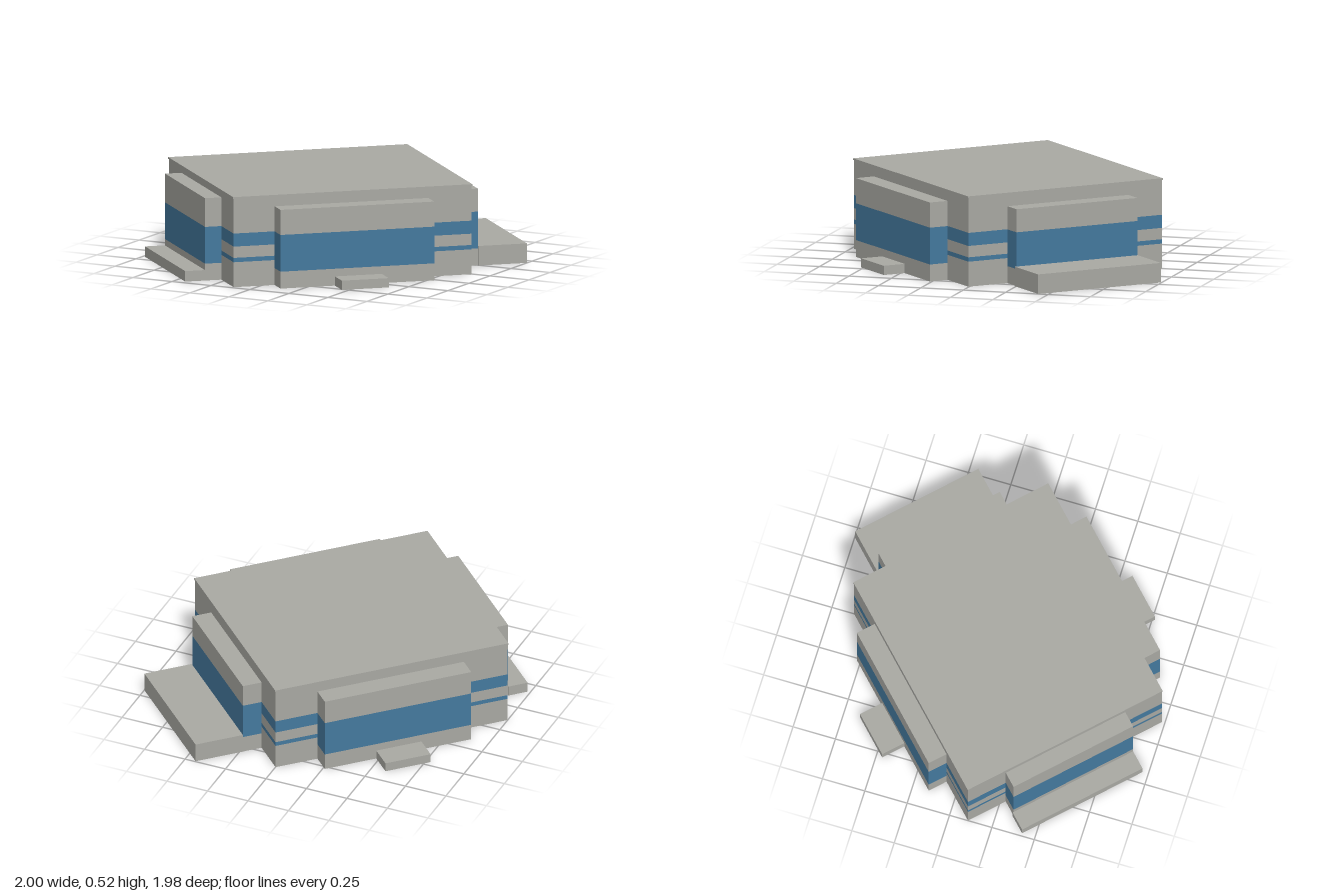
import * as THREE from 'three';

const wall = new THREE.MeshStandardMaterial({ name: 'concreteGrey', color: 0xaaaaa4 });
const glass = new THREE.MeshStandardMaterial({ name: 'windowBlue', color: 0x457a9f });

// Ground plan frame: u and v run along the walls, turned about 45 degrees
const plan = new THREE.Matrix4().makeBasis(
  new THREE.Vector3(0.712, 0, 0.702),
  new THREE.Vector3(0, 1, 0),
  new THREE.Vector3(-0.7147, 0, 0.6994)
).setPosition(-0.0575, 0, 0.057);

// Box over the plan rectangle [u0, u1, v0, v1] between two heights
function block(name, [u0, u1, v0, v1], y0, y1, material) {
  const geometry = new THREE.BoxGeometry(u1 - u0, y1 - y0, v1 - v0);
  geometry.translate((u0 + u1) / 2, (y0 + y1) / 2, (v0 + v1) / 2);
  geometry.applyMatrix4(plan);
  const mesh = new THREE.Mesh(geometry, material);
  mesh.name = name;
  return mesh;
}

// Stack of storeys, alternating wall and window bands, starting with wall
function storeys(name, rect, levels) {
  const group = new THREE.Group();
  group.name = name;
  for (let i = 0; i + 1 < levels.length; i++) {
    const isGlass = i % 2 === 1;
    group.add(block(isGlass ? 'windowBand' : 'wallBand', rect, levels[i], levels[i + 1], isGlass ? glass : wall));
  }
  return group;
}

export function createModel() {
  const model = new THREE.Group();
  model.name = 'building';
  const U = 0.622, V = 0.699;

  // Main hall with two window strips and a thin overhanging roof
  model.add(storeys('mainHall', [-U, U, -V, V], [0, 0.143, 0.168, 0.233, 0.308, 0.508]));
  model.add(block('roofSlab', [-0.6255, 0.6255, -0.7025, 0.7025], 0.508, 0.518, wall));

  // One projecting bay on each side: name, plan, height
  const bays = [
    ['frontLeftBay', [U, 0.736, -0.445, 0.458], 0.452],
    ['backRightBay', [-0.736, -U, -0.447, 0.435], 0.452],
    ['frontRightBay', [-0.38, 0.387, V, 0.795], 0.473],
    ['backLeftBay', [-0.406, 0.372, -0.812, -V], 0.44],
  ];
  for (const [name, rect, height] of bays) model.add(storeys(name, rect, [0, 0.097, 0.308, height]));

  // Low steps and terraces outside the bays
  const terraces = [
    ['frontLeftStep', [0.736, 0.87, -0.137, 0.139], 0.053],
    ['backRightStep', [-0.878, -0.736, -0.137, 0.135], 0.053],
    ['frontRightTerrace', [-0.386, 0.387, 0.795, 0.911], 0.06],
    ['backLeftTerrace', [-0.407, 0.383, -1.097, -0.812], 0.112],
  ];
  for (const [name, rect, height] of terraces) model.add(block(name, rect, 0, height, wall));

  return model;
}
